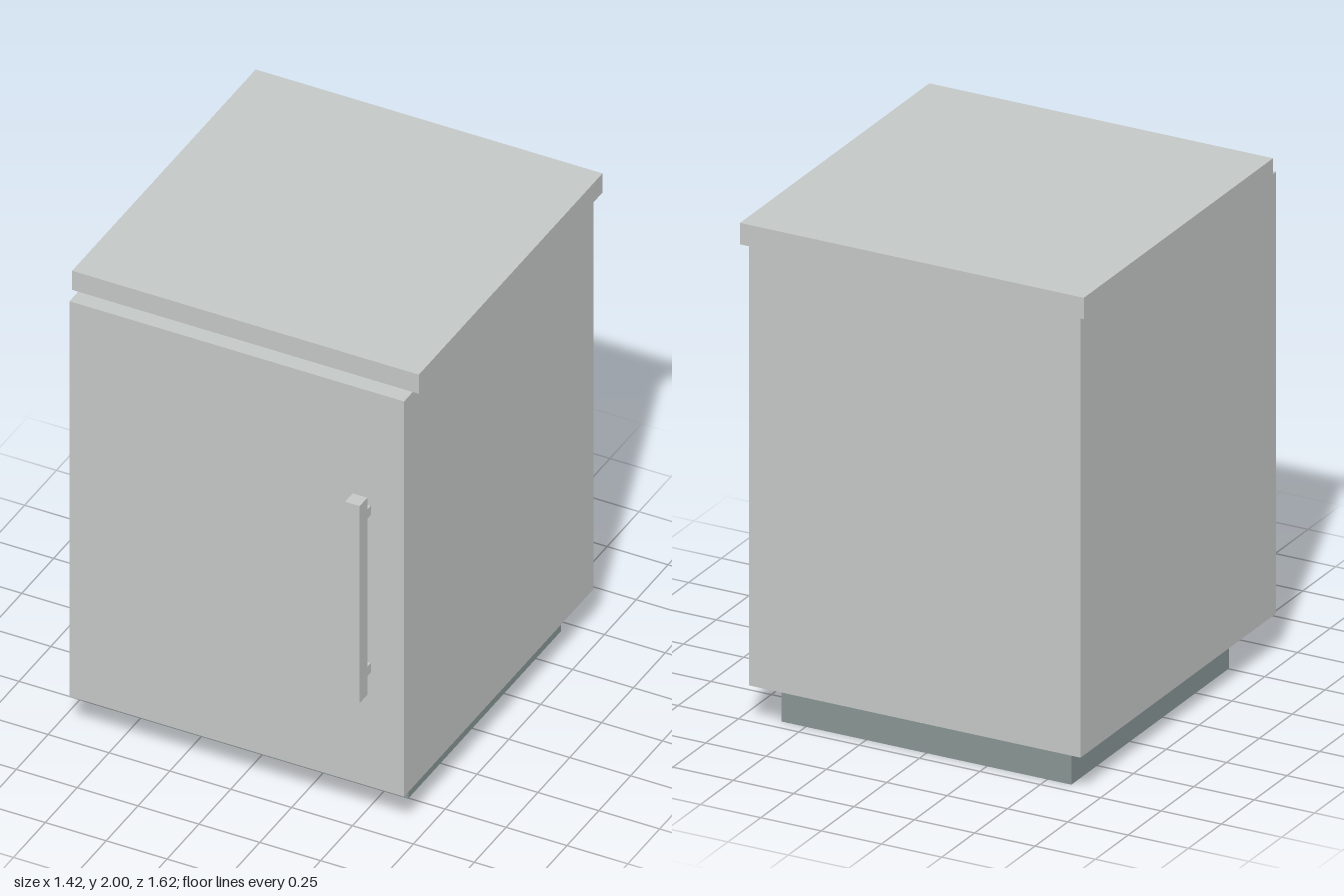
import * as THREE from 'three';

export function createModel() {
  const model = new THREE.Group();
  model.name = 'cabinet';

  const lightGrey = new THREE.MeshStandardMaterial({ color: 0xc4c8c6 });
  lightGrey.name = 'light grey';
  const slateGrey = new THREE.MeshStandardMaterial({ color: 0x879594 });
  slateGrey.name = 'slate grey';

  // Box given by its extents along each axis
  function addBox(parent, name, material, [x0, x1], [y0, y1], [z0, z1]) {
    const mesh = new THREE.Mesh(new THREE.BoxGeometry(x1 - x0, y1 - y0, z1 - z0), material);
    mesh.position.set((x0 + x1) / 2, (y0 + y1) / 2, (z0 + z1) / 2);
    mesh.name = name;
    parent.add(mesh);
  }

  // Recessed base, cabinet and overhanging top set back from the front
  addBox(model, 'plinth', slateGrey, [-0.6, 0.6], [0, 0.16], [-0.697, 0.503]);
  addBox(model, 'cabinetBody', lightGrey, [-0.687, 0.687], [0.16, 1.915], [-0.787, 0.702]);
  addBox(model, 'worktop', lightGrey, [-0.712, 0.712], [1.915, 2], [-0.808, 0.634]);

  // Square bar handle on two standoffs
  const handle = new THREE.Group();
  handle.name = 'handle';
  model.add(handle);
  addBox(handle, 'handleBar', lightGrey, [0.5, 0.56], [0.6, 1.475], [0.748, 0.808]);
  for (const y of [0.688, 1.387]) {
    addBox(handle, 'handleStandoff', lightGrey, [0.51, 0.55], [y - 0.021, y + 0.021], [0.702, 0.748]);
  }

  return model;
}
